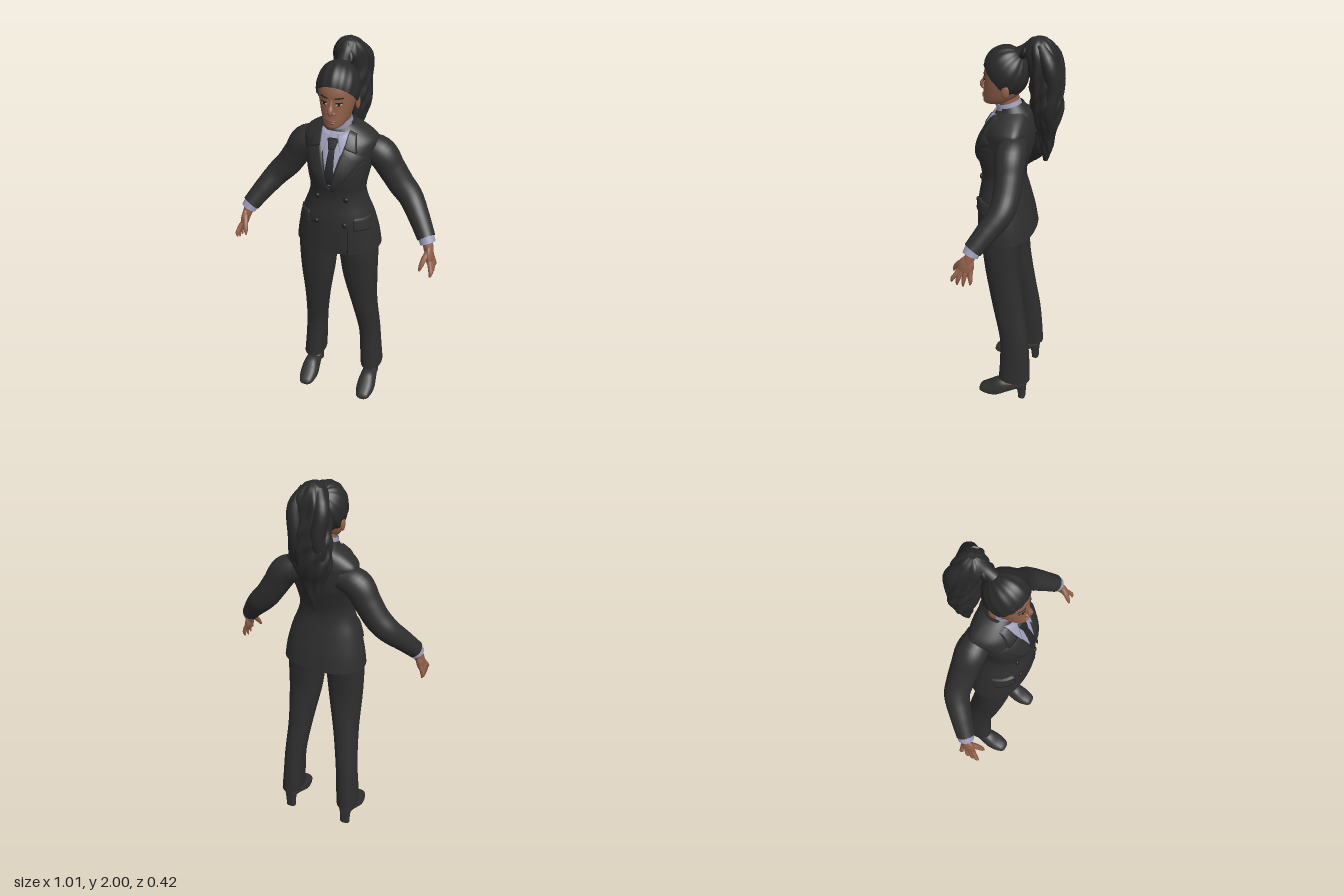
import * as THREE from 'three';

const mat = (name, color, side = THREE.FrontSide) => {
  const m = new THREE.MeshStandardMaterial({ color, side });
  m.name = name;
  return m;
};

// Smoothly fills in extra rows between the given ones
function dense(rows, n = 6) {
  const out = [];
  const at = i => rows[Math.min(Math.max(i, 0), rows.length - 1)];
  for (let i = 0; i < rows.length - 1; i++) for (let k = 0; k < n; k++) {
    const t = k / n, [a, b, c, d] = [at(i - 1), at(i), at(i + 1), at(i + 2)];
    out.push(b.map((_, j) => 0.5 * (2 * b[j] + (c[j] - a[j]) * t +
      (2 * a[j] - 5 * b[j] + 4 * c[j] - d[j]) * t * t + (3 * b[j] - a[j] - 3 * c[j] + d[j]) * t * t * t)));
  }
  out.push(rows[rows.length - 1]);
  return out;
}

// Skins a stack of rings and closes both ends
function skin(rings) {
  const pos = [], idx = [], n = rings[0].length;
  rings.forEach(r => r.forEach(p => pos.push(...p)));
  for (let i = 0; i < rings.length - 1; i++) for (let j = 0; j < n; j++) {
    const k = (j + 1) % n, a = i * n + j, b = i * n + k;
    idx.push(a, b, b + n, a, b + n, a + n);
  }
  for (const [ring, end] of [[rings[0], 0], [rings[rings.length - 1], 1]]) {
    const base = pos.length / 3;
    ring.forEach(p => pos.push(...p));
    pos.push(...[0, 1, 2].map(c => ring.reduce((s, p) => s + p[c], 0) / n));
    for (let j = 0; j < n; j++) {
      const k = (j + 1) % n;
      idx.push(base + n, base + (end ? j : k), base + (end ? k : j));
    }
  }
  const g = new THREE.BufferGeometry();
  g.setAttribute('position', new THREE.Float32BufferAttribute(pos, 3));
  g.setIndex(idx);
  g.computeVertexNormals();
  return g;
}

// Rows: [along, centre x, half width, front, back, depth of widest point]
function loft(rows, { e = 2.2, n = 40, alongZ = false, ripple = () => 1 } = {}) {
  return skin(dense(rows).map(([s, cx, w, f, b, c]) => Array.from({ length: n }, (_, j) => {
    const a = j / n * Math.PI * 2, sn = Math.sin(a), cs = Math.cos(a), r = ripple(a, s);
    const x = cx + r * w * Math.sign(sn) * Math.abs(sn) ** (2 / e);
    const d = c + r * (cs > 0 ? f - c : c - b) * Math.sign(cs) * Math.abs(cs) ** (2 / e);
    return alongZ ? [x, d, s] : [x, s, d];
  })));
}

// Front depth of a lofted body at (x, y)
function frontOf(rows, e = 2.2) {
  const d = dense(rows);
  return (x, y) => {
    let i = 0;
    while (i < d.length - 2 && d[i + 1][0] < y) i++;
    const t = (y - d[i][0]) / (d[i + 1][0] - d[i][0]);
    const [, cx, w, f, , c] = d[i].map((v, j) => v + (d[i + 1][j] - v) * t);
    const u = Math.min(Math.abs((x - cx) / w), 0.98);
    return c + (f - c) * (1 - u ** e) ** (1 / e);
  };
}

// Thin plate laid on a surface: corners bottom left, bottom right, top right, top left
function patch(surf, [p, q, r, s], lift, n = 10) {
  const g = new THREE.PlaneGeometry(1, 1, n, n), a = g.attributes.position;
  const edge = v => Math.abs(v) > 0.499;
  for (let i = 0; i < a.count; i++) {
    const rim = edge(a.getX(i)) || edge(a.getY(i));
    const tighten = v => edge(v) ? v + 0.5 : 0.5 + v * 0.96 / (1 - 2 / n);
    const u = tighten(a.getX(i)), v = tighten(a.getY(i));
    const mix = k => (p[k] * (1 - u) + q[k] * u) * (1 - v) + (s[k] * (1 - u) + r[k] * u) * v;
    a.setXYZ(i, mix(0), mix(1), surf(mix(0), mix(1)) + (rim ? -0.002 : lift));
  }
  g.computeVertexNormals();
  return g;
}

// Tube with a changing radius; points are [x, y, z, radius]
function limb(points, n = 20, steps = 24) {
  const curve = new THREE.CatmullRomCurve3(points.map(p => new THREE.Vector3(p[0], p[1], p[2])));
  const radii = dense(points.map(p => [p[3]]), 12), fr = curve.computeFrenetFrames(steps);
  return skin(Array.from({ length: steps + 1 }, (_, i) => {
    const c = curve.getPointAt(i / steps);
    const r = radii[Math.round(curve.getUtoTmapping(i / steps) * (radii.length - 1))][0];
    return Array.from({ length: n }, (_, j) => {
      const a = j / n * Math.PI * 2;
      return c.clone().addScaledVector(fr.normals[i], r * Math.cos(a))
        .addScaledVector(fr.binormals[i], r * Math.sin(a)).toArray();
    });
  }));
}

function mirror(geo) {
  const g = geo.clone().scale(-1, 1, 1), ix = g.index.array;
  for (let i = 0; i < ix.length; i += 3) [ix[i], ix[i + 1]] = [ix[i + 1], ix[i]];
  g.computeVertexNormals();
  return g;
}

const ball = (x, y, z, a, b, c) => new THREE.SphereGeometry(1, 20, 14).scale(a, b, c).translate(x, y, z);

export function createModel() {
  const root = new THREE.Group();
  root.name = 'womanInSuit';
  const suit = mat('suit', 0x2e2e2e, THREE.DoubleSide), hair = mat('hair', 0x292929, THREE.DoubleSide);
  const shirt = mat('shirt', 0x9a9ab6, THREE.DoubleSide), tie = mat('tie', 0x26262a);
  const skinTone = mat('skin', 0x90604a), lips = mat('lips', 0x7d4a3e), shoe = mat('shoe', 0x323233);
  const white = mat('eyeWhite', 0xc4bbb4), iris = mat('iris', 0x2a1a14), trim = mat('trim', 0x1f1f1f);
  const add = (name, geo, m) => {
    const mesh = new THREE.Mesh(geo, m);
    mesh.name = name;
    root.add(mesh);
  };
  const pair = (name, geo, m) => { add(name + 'Left', geo, m); add(name + 'Right', mirror(geo), m); };

  // Jacket body
  const torso = [
    [1.02, 0, .212, .198, -.088, .05], [1.10, 0, .2, .198, -.074, .05], [1.20, 0, .175, .195, -.05, .055],
    [1.28, 0, .145, .182, -.032, .06], [1.34, 0, .133, .18, -.032, .06], [1.41, 0, .143, .195, -.05, .05],
    [1.46, 0, .153, .198, -.063, .03], [1.52, 0, .165, .178, -.068, .01], [1.57, 0, .175, .152, -.066, 0],
    [1.60, 0, .162, .135, -.06, 0], [1.635, 0, .115, .112, -.05, .01], [1.66, 0, .07, .092, -.035, .03]];
  const chest = frontOf(torso);
  add('jacketBody', loft(torso, { n: 56 }), suit);
  const plate = (c, lift) => patch(chest, c, lift);
  add('shirtFront', plate([[-.002, 1.4], [.002, 1.4], [.064, 1.64], [-.064, 1.64]], .004), shirt);
  add('tieBlade', plate([[-.025, 1.41], [.025, 1.41], [.013, 1.58], [-.013, 1.58]], .008), tie);
  add('tieKnot', plate([[-.014, 1.572], [.014, 1.572], [.026, 1.615], [-.026, 1.615]], .014), tie);
  pair('shirtCollarWing', plate([[.046, 1.548], [.054, 1.548], [.064, 1.645], [.014, 1.632]], .011), shirt);
  pair('lapel', plate([[0, 1.375], [.012, 1.365], [.142, 1.53], [.056, 1.598]], .012), suit);
  pair('upperCollar', plate([[.056, 1.58], [.112, 1.558], [.095, 1.63], [.064, 1.645]], .013), suit);
  pair('pocketFlap', plate([[.112, 1.165], [.18, 1.152], [.172, 1.212], [.108, 1.226]], .014), suit);
  add('breastPocket', plate([[.1, 1.472], [.146, 1.49], [.144, 1.505], [.098, 1.488]], .006), suit);
  add('frontEdge', plate([[.084, 1.022], [.088, 1.022], [.088, 1.18], [.084, 1.18]], .003), trim);
  for (const y of [1.32, 1.19]) pair('button', ball(.07, y, chest(.07, y) + .003, .013, .013, .008), trim);
  const band = (r1, r2, h, y, z, a, l) => new THREE.CylinderGeometry(r1, r2, h, 40, 3, true, a, l)
    .rotateX(.25).translate(0, y, z);
  add('shirtCollar', band(.057, .066, .075, 1.657, .045, 0, Math.PI * 2), shirt);
  add('jacketCollar', band(.064, .09, .06, 1.648, .038, Math.PI * .4, Math.PI * 1.2), suit);

  // Arms, cuffs and hands
  pair('sleeve', limb([[.1, 1.53, -.005, .06], [.18, 1.505, -.005, .072], [.235, 1.425, -.01, .066],
    [.285, 1.35, -.01, .063], [.335, 1.295, 0, .059], [.395, 1.222, .052, .051], [.447, 1.152, .104, .044]], 28, 36), suit);
  pair('shirtCuff', limb([[.44, 1.165, .098, .038], [.458, 1.13, .112, .038]], 24, 4), shirt);
  pair('wrist', limb([[.45, 1.15, .105, .024], [.463, 1.11, .117, .024], [.472, 1.075, .128, .02]]), skinTone);
  pair('palm', ball(0, 0, 0, .019, .055, .038).rotateX(-.2).rotateZ(.15).translate(.474, 1.075, .13), skinTone);
  [[.105, .108, .99], [.125, .142, .976], [.144, .17, .98], [.16, .195, .995]].forEach(([z, tip, y]) =>
    pair('finger', limb([[.48, 1.06, z, .011], [.492, 1.03, (z + tip) / 2, .011],
      [.497, (1.03 + y) / 2, tip - .004, .009], [.494, y, tip, .004]], 12, 12), skinTone));
  pair('thumb', limb([[.468, 1.1, .14, .014], [.455, 1.07, .172, .013], [.447, 1.04, .192, .01],
    [.444, 1.022, .2, .004]], 12, 12), skinTone);

  // Trousers
  pair('trouserLeg', loft([[.13, .168, .058, .072, -.1, -.015], [.25, .16, .056, .066, -.095, -.015],
    [.4, .151, .055, .068, -.083, -.01], [.6, .131, .064, .108, -.055, .025], [.8, .114, .085, .142, -.03, .055],
    [.93, .107, .094, .158, -.03, .06], [1.0, .102, .098, .165, -.036, .06], [1.07, .1, .1, .165, -.04, .06]]), suit);

  // Shoes with block heels
  pair('ankle', limb([[.168, .2, -.03, .034], [.168, .12, -.012, .033], [.168, .07, .03, .034]]), skinTone);
  pair('shoeBody', loft([[.184, .17, .02, .026, .006, .014], [.17, .17, .035, .042, .002, .016],
    [.13, .17, .047, .066, 0, .02], [.09, .17, .049, .098, .002, .026], [.06, .17, .046, .108, .012, .04],
    [.02, .169, .041, .105, .035, .06], [-.03, .168, .038, .118, .064, .085], [-.065, .168, .034, .13, .075, .1],
    [-.082, .168, .02, .125, .085, .105]], { alongZ: true, e: 2.4 }), shoe);
  pair('shoeHeel', loft([[0, .168, .026, -.038, -.076, -.057], [.05, .168, .027, -.033, -.078, -.057],
    [.1, .168, .034, -.015, -.08, -.05]], { e: 3 }), shoe);

  // Head and neck
  const head = [
    [1.672, 0, .015, .155, .115, .135], [1.685, 0, .042, .167, .06, .11], [1.71, 0, .059, .168, .02, .08],
    [1.75, 0, .071, .164, -.015, .07], [1.80, 0, .08, .16, -.03, .065], [1.85, 0, .082, .156, -.028, .06],
    [1.90, 0, .07, .132, -.01, .06], [1.935, 0, .03, .09, .03, .06]];
  const face = frontOf(head);
  add('neck', limb([[0, 1.6, .03, .052], [0, 1.68, .045, .047], [0, 1.75, .06, .05]]), skinTone);
  add('head', loft(head), skinTone);
  add('nose', limb([[0, 1.815, .155, .006], [0, 1.785, .163, .009], [0, 1.762, .172, .014],
    [0, 1.748, .167, .011]], 16, 12), skinTone);
  pair('nostril', ball(.013, 1.752, .164, .009, .008, .01), skinTone);
  pair('ear', ball(.084, 1.765, .045, .01, .032, .019), skinTone);
  const mark = (c, lift) => patch(face, c, lift, 6);
  pair('eyeWhite', mark([[.021, 1.789], [.044, 1.79], [.046, 1.798], [.02, 1.797]], .002), white);
  pair('iris', mark([[.028, 1.788], [.038, 1.788], [.038, 1.799], [.028, 1.799]], .003), iris);
  pair('eyelash', mark([[.018, 1.797], [.05, 1.798], [.047, 1.803], [.02, 1.802]], .004), iris);
  pair('eyebrow', mark([[.015, 1.816], [.054, 1.82], [.05, 1.827], [.015, 1.823]], .002), hair);
  add('upperLip', ball(0, 1.717, .164, .024, .006, .009), lips);
  add('lowerLip', ball(0, 1.707, .163, .02, .007, .01), lips);

  // Swept-back hair, its strands meeting at the tie
  const cap = new THREE.SphereGeometry(1, 96, 24, 0, Math.PI * 2, 0, 1.97);
  const cp = cap.attributes.position;
  for (let i = 0; i < cp.count; i++) {
    const x = cp.getX(i), z = cp.getZ(i), k = 1 + .014 * Math.hypot(x, z) * Math.cos(14 * Math.atan2(x, z));
    cp.setXYZ(i, x * k, cp.getY(i) * k, z * k);
  }
  cap.rotateX(-.75).scale(.097, .12, .105).translate(0, 1.83, .06);
  cap.computeVertexNormals();
  add('hairCap', cap, hair);
  add('hairTie', new THREE.TorusGeometry(.027, .013, 12, 28).rotateX(-.5).translate(0, 1.93, -.025), trim);
  add('ponytailRoot', limb([[0, 1.91, .01, .032], [0, 1.935, -.03, .03], [0, 1.955, -.075, .045]]), hair);
  add('ponytail', loft([
    [1.40, -.012, .008, -.115, -.135, -.125], [1.47, -.012, .034, -.102, -.158, -.13],
    [1.55, -.012, .055, -.088, -.172, -.13], [1.62, -.012, .082, -.07, -.195, -.13],
    [1.70, -.008, .09, -.055, -.2, -.13], [1.80, -.003, .087, -.05, -.195, -.12],
    [1.88, 0, .08, -.045, -.18, -.115], [1.94, 0, .07, -.03, -.168, -.105],
    [1.982, 0, .045, -.045, -.14, -.095], [2.0, 0, .014, -.075, -.11, -.092]],
  { n: 64, ripple: (a, y) => 1 + .06 * Math.cos(6 * a + 9 * Math.sin(y * 9)) + .03 * Math.cos(11 * a - 14 * y) }), hair);
  pair('ponytailLock', limb([[.03, 1.97, -.1, .025], [.06, 1.9, -.145, .035], [.05, 1.78, -.165, .036],
    [.06, 1.68, -.15, .03], [.03, 1.58, -.145, .024], [.015, 1.48, -.135, .006]]), hair);
  return root;
}
